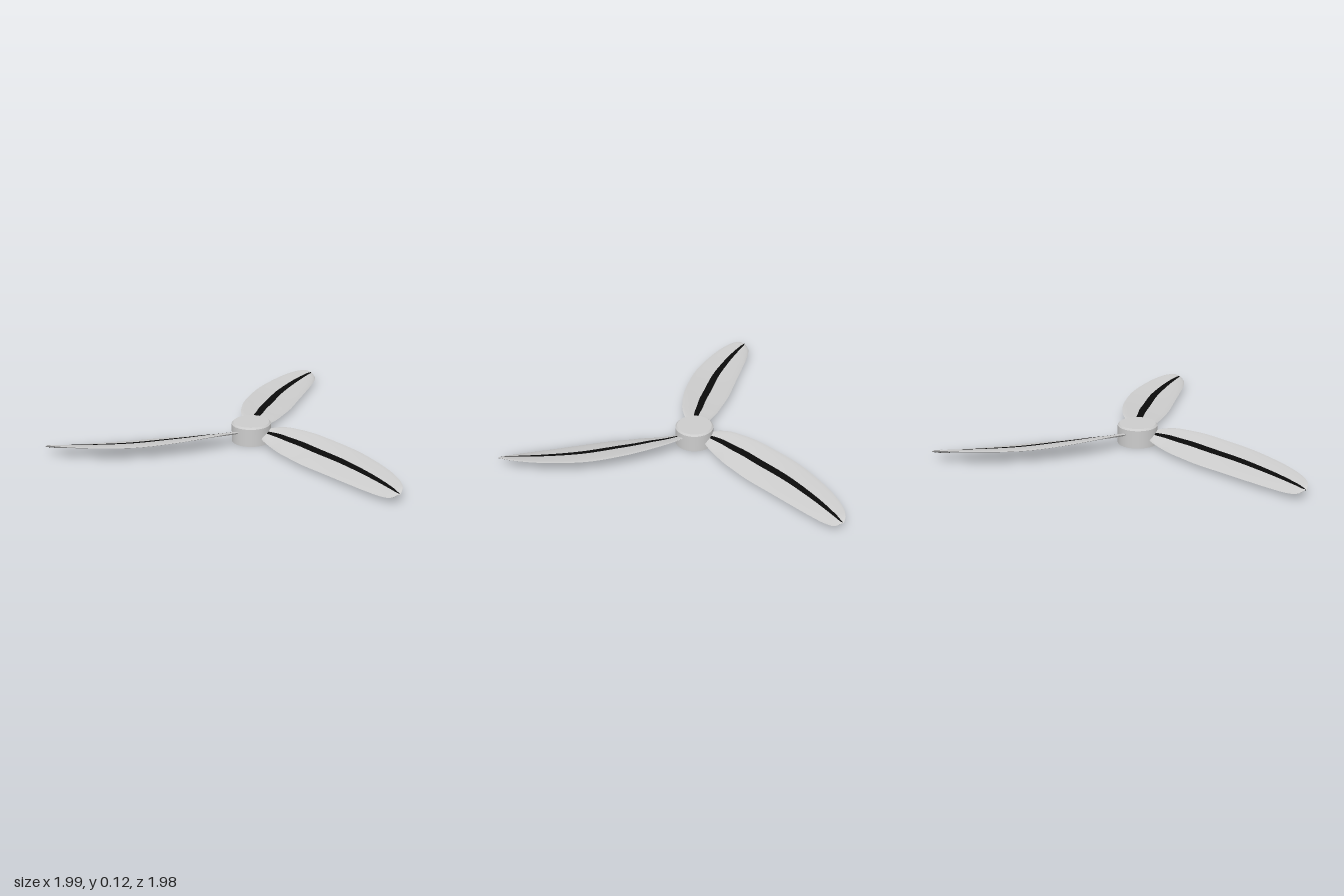
import * as THREE from 'three';

const grey = new THREE.MeshStandardMaterial({ color: 0xcccccc, side: THREE.DoubleSide });
const black = new THREE.MeshStandardMaterial({ color: 0x0a0a0a, side: THREE.DoubleSide });

// Blade edges from root to tip, relative to the hub axis: [x, y, z]
const curve = (pts) => new THREE.CatmullRomCurve3(pts.map((p) => new THREE.Vector3(...p)));
const highEdge = curve([
  [0.08, 0.07, -0.03], [0.12, 0.082, -0.055], [0.2, 0.094, -0.077], [0.28, 0.096, -0.08],
  [0.385, 0.095, -0.075], [0.49, 0.09, -0.058], [0.71, 0.082, 0], [0.92, 0.08, 0.105],
  [1.03, 0.079, 0.18], [1.1, 0.076, 0.245], [1.13, 0.07, 0.29], [1.138, 0.055, 0.322],
]);
const lowEdge = curve([
  [0.08, 0.045, 0.03], [0.12, 0.038, 0.06], [0.2, 0.028, 0.1], [0.28, 0.025, 0.14],
  [0.36, 0.023, 0.17], [0.47, 0.022, 0.21], [0.66, 0.022, 0.26], [0.84, 0.022, 0.307],
  [0.95, 0.023, 0.335], [1.04, 0.025, 0.353], [1.095, 0.032, 0.355], [1.13, 0.05, 0.335],
]);

// Point on the blade skin: s along the span, u across the chord, side +1 top or -1 bottom
function skin(s, u, side) {
  const p = highEdge.getPoint(s).lerp(lowEdge.getPoint(s), u);
  const taper = Math.min(1, (1 - s) * 5 + 0.25);
  p.y += side * 0.009 * taper * Math.pow(Math.max(0, 4 * u * (1 - u)), 0.6);
  return p;
}

// Skin patch between two chord fractions, each given as a function of s
function panel(from, to, side, across) {
  const along = 66, pos = [], index = [];
  for (let i = 0; i <= along; i++) {
    const s = i / along;
    for (let j = 0; j <= across; j++) {
      const u = THREE.MathUtils.lerp(from(s), to(s), j / across);
      pos.push(...skin(s, u, side).toArray());
      if (i === along || j === across) continue;
      const a = i * (across + 1) + j, b = a + 1, c = a + across + 1, d = c + 1;
      if (side > 0) index.push(a, b, c, b, d, c);
      else index.push(a, c, b, b, c, d);
    }
  }
  const g = new THREE.BufferGeometry();
  g.setAttribute('position', new THREE.Float32BufferAttribute(pos, 3));
  g.setIndex(index);
  g.computeVertexNormals();
  return g;
}

function createBlade() {
  const blade = new THREE.Group();
  const add = (name, geometry, material) => {
    const mesh = new THREE.Mesh(geometry, material);
    mesh.name = name;
    blade.add(mesh);
  };
  const half = (s) => 0.085 - 0.04 * s * s;
  const stripeStart = (s) => 0.5 - half(s);
  const stripeEnd = (s) => 0.5 + half(s);
  for (const [side, label] of [[1, 'upper'], [-1, 'lower']]) {
    add(label + 'HighHalf', panel(() => 0, stripeStart, side, 10), grey);
    add(label + 'Stripe', panel(stripeStart, stripeEnd, side, 4), black);
    add(label + 'LowHalf', panel(stripeEnd, () => 1, side, 10), grey);
  }
  return blade;
}

export function createModel() {
  const model = new THREE.Group();
  model.name = 'propeller';
  model.position.set(-0.14, 0, 0.15);

  // Hub: a short cylinder with a chamfered cap
  const cyl = (name, top, bottom, height, y, open = false) => {
    const mesh = new THREE.Mesh(new THREE.CylinderGeometry(top, bottom, height, 64, 1, open), grey);
    mesh.name = name;
    mesh.position.y = y;
    model.add(mesh);
  };
  cyl('hub', 0.115, 0.115, 0.105, 0.0525);
  cyl('hubCap', 0.105, 0.115, 0.01, 0.11);

  // Three identical blades around the hub
  for (let k = 0; k < 3; k++) {
    const blade = createBlade();
    blade.name = 'blade' + (k + 1);
    blade.rotation.y = (k * Math.PI * 2) / 3;
    model.add(blade);
  }

  const root = new THREE.Group();
  root.add(model);
  return root;
}
